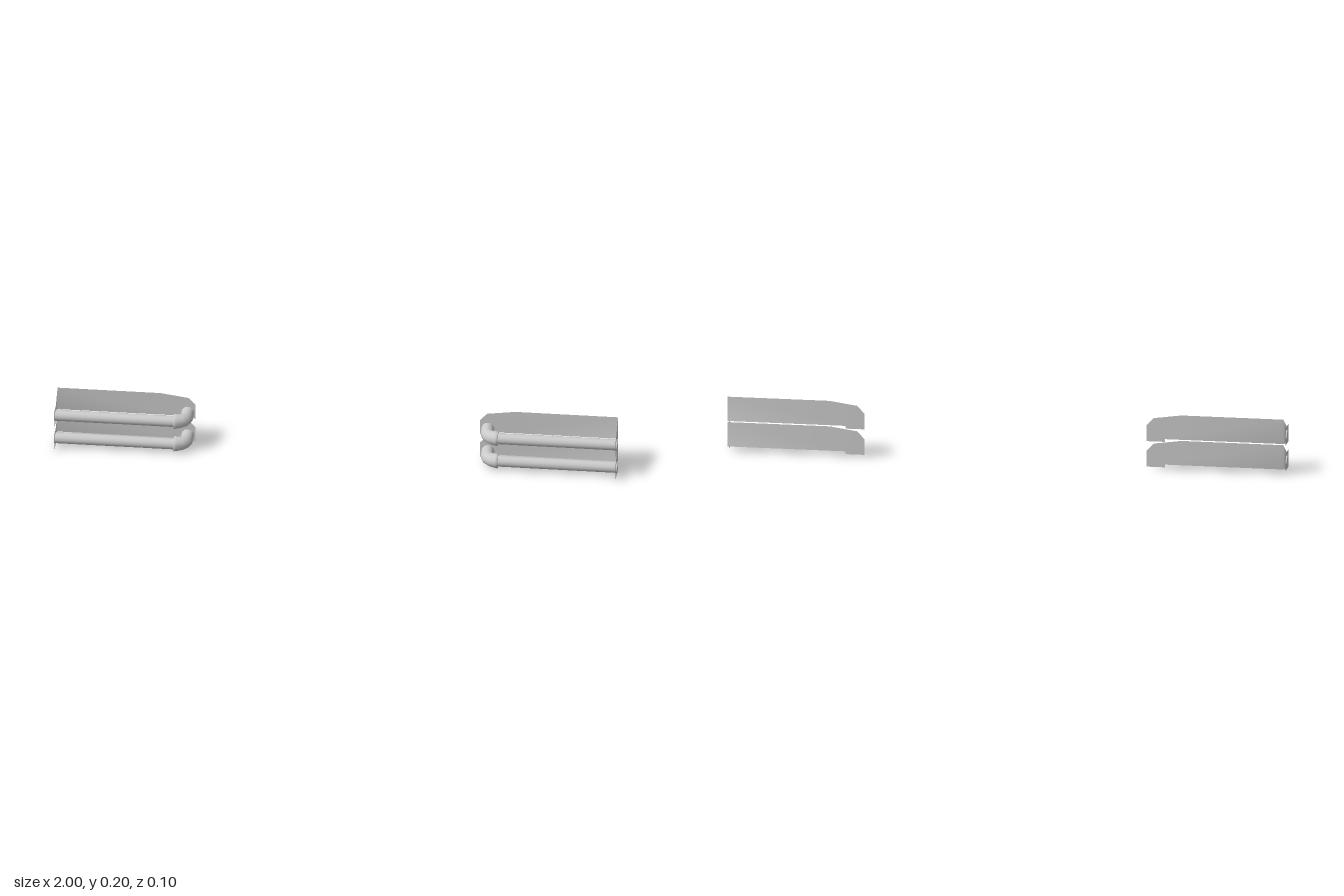
import * as THREE from 'three';
import { mergeGeometries, mergeVertices } from 'three/addons/utils/BufferGeometryUtils.js';

const material = new THREE.MeshStandardMaterial({ color: 0xcccccc, side: THREE.DoubleSide });
const PIPE_Y = 0.033, PIPE_Z = 0.015, BACK_Z = -0.05, END_X = 0.995;

function part(name, geometry) {
  const mesh = new THREE.Mesh(geometry, material);
  mesh.name = name;
  return mesh;
}

function flat(points) {
  return new THREE.ShapeGeometry(new THREE.Shape(points.map(([x, y]) => new THREE.Vector2(x, y))));
}

// Thin back shield with its outer end folded forward, smooth across the fold
function shieldGeometry() {
  const back = flat([
    [0.505, 0.008], [0.572, 0.008], [0.572, 0.018], [END_X, 0.018], [END_X, 0.107],
    [0.63, 0.107], [0.53, 0.093], [0.505, 0.066],
  ]);
  const end = flat([
    [END_X, 0.018], [END_X + 0.04, 0.01], [END_X + 0.07, 0.008], [END_X + 0.07, 0.065], [END_X, 0.107],
  ]);
  let sheet = mergeGeometries([back, end]);
  const p = sheet.attributes.position;
  for (let i = 0; i < p.count; i++) {
    const fold = Math.max(0, p.getX(i) - END_X);
    p.setXYZ(i, p.getX(i) - fold, p.getY(i), BACK_Z + fold);
  }
  sheet.deleteAttribute('normal');
  sheet.deleteAttribute('uv');
  sheet = mergeVertices(sheet);
  sheet.computeVertexNormals();
  return sheet;
}

// Elbow lofted through rings of [x, z, turn, radius]
function elbowGeometry() {
  const rings = [
    [0.576, PIPE_Z, 0, 0.02], [0.575, PIPE_Z, 0, 0.027], [0.566, PIPE_Z - 0.001, 0, 0.026],
    [0.55, 0.009, 0.45, 0.024], [0.539, 0, 0.95, 0.0235],
    [0.533, -0.014, 1.4, 0.023], [0.533, BACK_Z, Math.PI / 2, 0.023],
  ];
  const sides = 12, positions = [], index = [];
  rings.forEach(([x, z, turn, r], k) => {
    for (let i = 0; i < sides; i++) {
      const t = (i / sides) * Math.PI * 2, out = r * Math.cos(t);
      positions.push(x - out * Math.sin(turn), PIPE_Y + r * Math.sin(t), z + out * Math.cos(turn));
      if (k === 0) continue;
      const j = (i + 1) % sides, a = (k - 1) * sides, b = k * sides;
      index.push(a + i, a + j, b + i, a + j, b + j, b + i);
    }
  });
  const geometry = new THREE.BufferGeometry();
  geometry.setAttribute('position', new THREE.Float32BufferAttribute(positions, 3));
  geometry.setIndex(index);
  geometry.computeVertexNormals();
  return geometry;
}

// One straight pipe with elbow, end flange and shield
function createPipeUnit() {
  const unit = new THREE.Group();
  unit.name = 'pipeUnit';

  const pipe = part('pipe', new THREE.CylinderGeometry(0.02, 0.02, 0.435, 12));
  pipe.rotation.z = Math.PI / 2;
  pipe.position.set(0.7825, PIPE_Y, PIPE_Z);

  const flange = part('endFlange', new THREE.PlaneGeometry(0.062, 0.064));
  flange.rotation.y = Math.PI / 2;
  flange.position.set(END_X + 0.001, PIPE_Y, 0.021);

  unit.add(pipe, flange, part('elbow', elbowGeometry()), part('shield', shieldGeometry()));
  return unit;
}

export function createModel() {
  const model = new THREE.Group();
  model.name = 'pipeAssembly';
  for (const side of [1, -1]) {
    const bank = new THREE.Group();
    bank.name = side > 0 ? 'leftPipes' : 'rightPipes';
    bank.scale.x = side;
    for (const y of [0, 0.093]) {
      const unit = createPipeUnit();
      unit.position.y = y;
      bank.add(unit);
    }
    model.add(bank);
  }
  return model;
}
